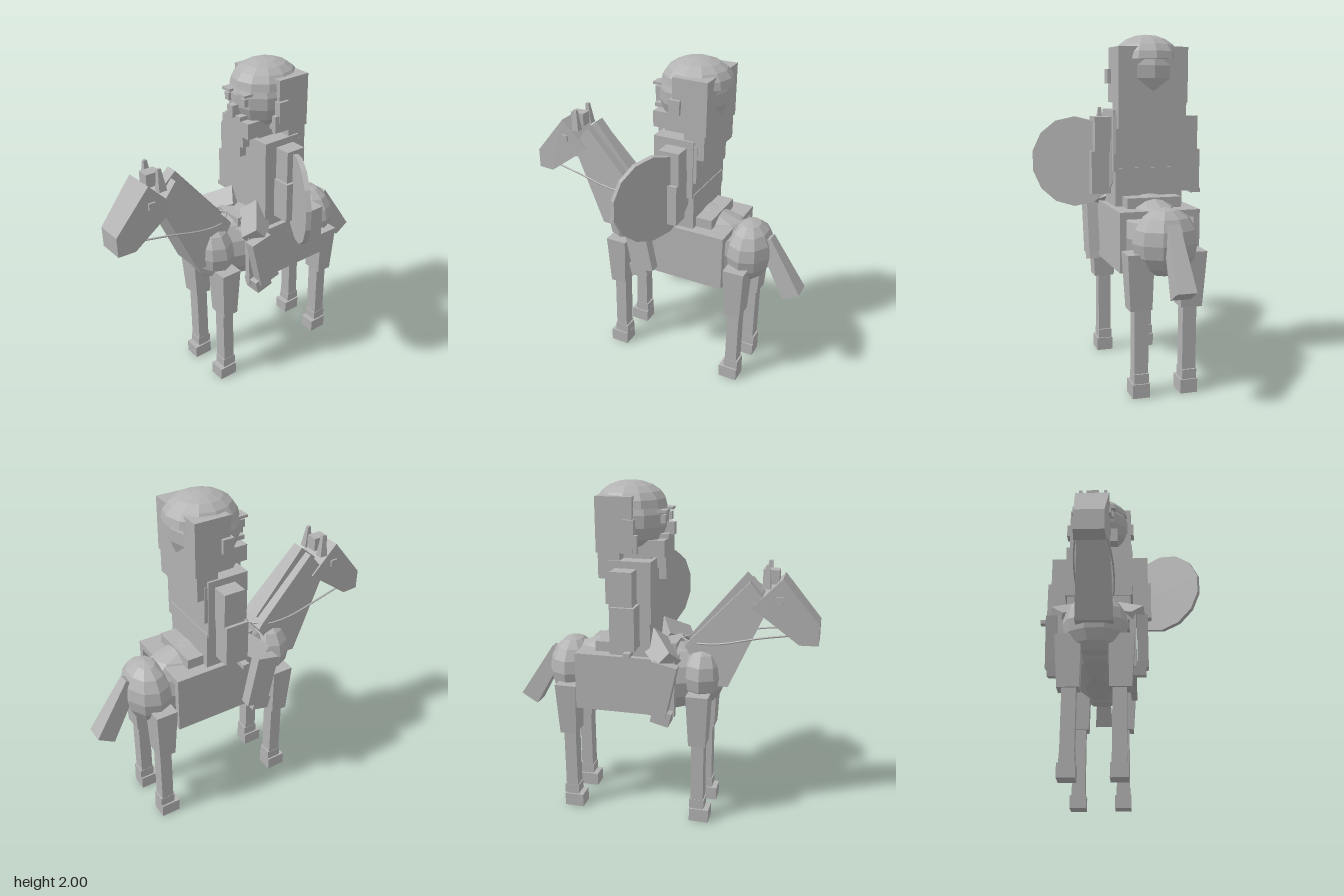
import * as THREE from 'three';

const stone = new THREE.MeshStandardMaterial({ color: 0xb2b2b2 });
stone.name = 'plain grey';
stone.flatShading = true;
stone.side = THREE.DoubleSide;

export function createModel() {
  const model = new THREE.Group();
  model.name = 'mountedWarrior';
  const horse = new THREE.Group();
  horse.name = 'horse';
  const rider = new THREE.Group();
  rider.name = 'rider';
  // the horse's centre line sits a little off the middle, to balance the shield
  horse.position.x = rider.position.x = -0.135;
  model.add(horse, rider);

  const add = (parent, name, geo) => {
    const m = new THREE.Mesh(geo, stone);
    m.name = name;
    parent.add(m);
    return m;
  };
  // box from ranges of x, y and z
  const box = (parent, name, x0, x1, y0, y1, z0, z1) => {
    const g = new THREE.BoxGeometry(Math.abs(x1 - x0), y1 - y0, z1 - z0);
    g.translate((x0 + x1) / 2, (y0 + y1) / 2, (z0 + z1) / 2);
    return add(parent, name, g);
  };
  // box running from a to b, with [x, z] sizes at each end
  const limb = (parent, name, a, b, sa, sb = sa) => {
    const A = new THREE.Vector3(...a), B = new THREE.Vector3(...b);
    const len = A.distanceTo(B);
    const g = new THREE.BoxGeometry(1, len, 1);
    const p = g.attributes.position;
    for (let i = 0; i < p.count; i++) {
      const s = p.getY(i) < 0 ? sa : sb;
      p.setX(i, p.getX(i) * s[0]);
      p.setZ(i, p.getZ(i) * s[1]);
    }
    g.computeVertexNormals();
    const m = add(parent, name, g);
    m.position.copy(A).lerp(B, 0.5);
    m.quaternion.setFromUnitVectors(new THREE.Vector3(0, 1, 0), B.sub(A).normalize());
    return m;
  };
  // side outline of [z, y] points, extruded across x; half(z, y) gives half the width
  const slab = (parent, name, pts, half) => {
    const g = new THREE.ExtrudeGeometry(new THREE.Shape(pts.map(q => new THREE.Vector2(...q))),
      { depth: 2, bevelEnabled: false });
    g.translate(0, 0, -1).rotateY(-Math.PI / 2);
    const p = g.attributes.position;
    for (let i = 0; i < p.count; i++) p.setX(i, p.getX(i) * half(p.getZ(i), p.getY(i)));
    g.computeVertexNormals();
    return add(parent, name, g);
  };
  const ball = (parent, name, c, r, w = 10, h = 8) => {
    const m = add(parent, name, new THREE.SphereGeometry(1, w, h));
    m.position.set(...c);
    m.scale.set(...r);
    return m;
  };

  // horse body
  ball(horse, 'belly', [0, 0.87, -0.15], [0.2, 0.24, 0.5], 12, 8);
  ball(horse, 'chest', [0, 0.9, 0.25], [0.19, 0.19, 0.135]);
  ball(horse, 'haunches', [0, 0.873, -0.56], [0.19, 0.193, 0.145]);

  // horse legs
  for (const s of [-1, 1]) {
    for (const z of [0.247, -0.545]) {
      const x = s * 0.14;
      limb(horse, 'upperLeg', [x + s * 0.005, 0.505, z], [x + s * 0.012, 0.82, z], [0.125, 0.1], [0.15, 0.13]);
      box(horse, 'shank', x - 0.04, x + 0.04, 0.08, 0.51, z - 0.037, z + 0.037);
      box(horse, 'fetlock', x - 0.042, x + 0.042, 0.085, 0.14, z - 0.047, z + 0.043);
      box(horse, 'hoof', x - 0.05, x + 0.05, 0, 0.08, z - 0.045, z + 0.072);
    }
  }

  // neck, mane, head and tail
  slab(horse, 'neck', [[0.405, 0.855], [0.29, 0.855], [0.15, 1.08], [0.18, 1.12], [0.51, 1.47], [0.62, 1.34]],
    (z, y) => 0.108 - 0.04 * (y - 0.855));
  slab(horse, 'mane', [[0.2, 1.1], [0.17, 1.13], [0.48, 1.505], [0.585, 1.415]], () => 0.036);
  slab(horse, 'head', [[0.69, 1.5], [0.525, 1.33], [0.795, 1.13], [0.9, 1.13], [0.9, 1.25]],
    z => 0.098 - 0.07 * Math.max(0, z - 0.65));
  box(horse, 'forelock', -0.035, 0.035, 1.455, 1.535, 0.575, 0.665);
  limb(horse, 'tail', [0, 0.97, -0.655], [0, 0.645, -0.853], [0.065, 0.09], [0.11, 0.115]);
  for (const s of [-1, 1]) {
    limb(horse, 'ear', [s * 0.075, 1.44, 0.6], [s * 0.07, 1.57, 0.605], [0.045, 0.05], [0.018, 0.02]);
    box(horse, 'eye', s * 0.08, s * 0.106, 1.36, 1.4, 0.658, 0.7);
    const path = new THREE.CatmullRomCurve3([[0.085, 1.18, 0.73], [0.105, 1.16, 0.58], [0.11, 1.11, 0.35],
      [0.09, 1.1, 0.2], [0, 1.1, 0.11]].map(([x, y, z]) => new THREE.Vector3(s * x, y, z)));
    add(horse, 'rein', new THREE.TubeGeometry(path, 12, 0.006, 5));
    // saddle cloth side
    box(horse, 'clothSide', s * 0.195, s * 0.233, 0.69, 1.03, -0.475, 0.12);
  }
  box(horse, 'clothTop', -0.233, 0.233, 0.99, 1.03, -0.475, 0.12);
  box(horse, 'cantle', -0.16, 0.16, 1.03, 1.09, -0.37, -0.25);
  box(horse, 'pommel', -0.1, 0.1, 1.03, 1.09, 0.0, 0.1);

  // rider trunk
  box(rider, 'waist', -0.2, 0.2, 1.02, 1.25, -0.27, -0.03);
  box(rider, 'torso', -0.212, 0.212, 1.23, 1.58, -0.265, -0.02);
  box(rider, 'backPlate', -0.205, 0.205, 1.33, 1.55, -0.285, -0.2);
  box(rider, 'neck', -0.12, 0.12, 1.56, 1.65, -0.26, -0.04);

  // head, cap and hair
  ball(rider, 'head', [0, 1.79, -0.165], [0.195, 0.2, 0.2], 12, 9);
  const cap = add(rider, 'cap', new THREE.SphereGeometry(1, 12, 5, 0, Math.PI * 2, 0, Math.PI / 2));
  cap.position.set(0, 1.86, -0.185);
  cap.scale.set(0.195, 0.14, 0.21);
  const brim = add(rider, 'capUnderside', new THREE.CircleGeometry(1, 12).rotateX(Math.PI / 2));
  brim.position.copy(cap.position);
  brim.scale.set(0.195, 1, 0.21);
  box(rider, 'hair', -0.203, 0.203, 1.62, 1.928, -0.335, -0.125);
  box(rider, 'lowerHair', -0.2, 0.2, 1.475, 1.63, -0.325, -0.2);

  // face
  box(rider, 'beard', -0.12, 0.12, 1.59, 1.685, -0.1, 0.035);
  box(rider, 'beardMiddle', -0.065, 0.065, 1.52, 1.59, -0.03, 0.03);
  box(rider, 'beardTip', -0.03, 0.03, 1.45, 1.52, -0.03, 0.025);
  box(rider, 'moustache', -0.068, 0.068, 1.69, 1.715, -0.02, 0.05);
  box(rider, 'nose', -0.024, 0.024, 1.705, 1.775, 0, 0.07);
  for (const s of [-1, 1]) {
    box(rider, 'eye', s * 0.055, s * 0.092, 1.777, 1.822, -0.02, 0.035);
    box(rider, 'brow', s * 0.035, s * 0.105, 1.835, 1.85, -0.03, 0.045);
    box(rider, 'ear', s * 0.18, s * 0.222, 1.725, 1.807, -0.18, -0.112);
    box(rider, 'sideburn', s * 0.17, s * 0.2, 1.62, 1.72, -0.17, -0.1);
  }

  // arms and legs
  for (const s of [-1, 1]) {
    box(rider, 'upperArm', s * 0.205, s * 0.31, 1.34, 1.54, -0.225, -0.1);
    box(rider, 'forearm', s * 0.215, s * 0.328, 1.1, 1.345, -0.222, -0.085);
    limb(rider, 'thigh', [s * 0.09, 1.1, -0.04], [s * 0.25, 1.02, 0.09], [0.13, 0.13], [0.11, 0.11]);
    limb(rider, 'shin', [s * 0.272, 0.715, 0.013], [s * 0.27, 1.025, 0.08], [0.065, 0.14]);
    limb(rider, 'foot', [s * 0.235, 0.66, 0.042], [s * 0.235, 0.74, 0.062], [0.11, 0.11]);
  }
  box(rider, 'hand', -0.37, -0.305, 1.075, 1.1, -0.14, -0.1);

  // round shield on the left arm, turned outwards
  const shield = add(model, 'shield', new THREE.CylinderGeometry(0.26, 0.26, 0.03, 14).rotateX(Math.PI / 2));
  shield.position.set(0.265, 1.28, -0.108);
  shield.rotation.y = -0.507;
  return model;
}
